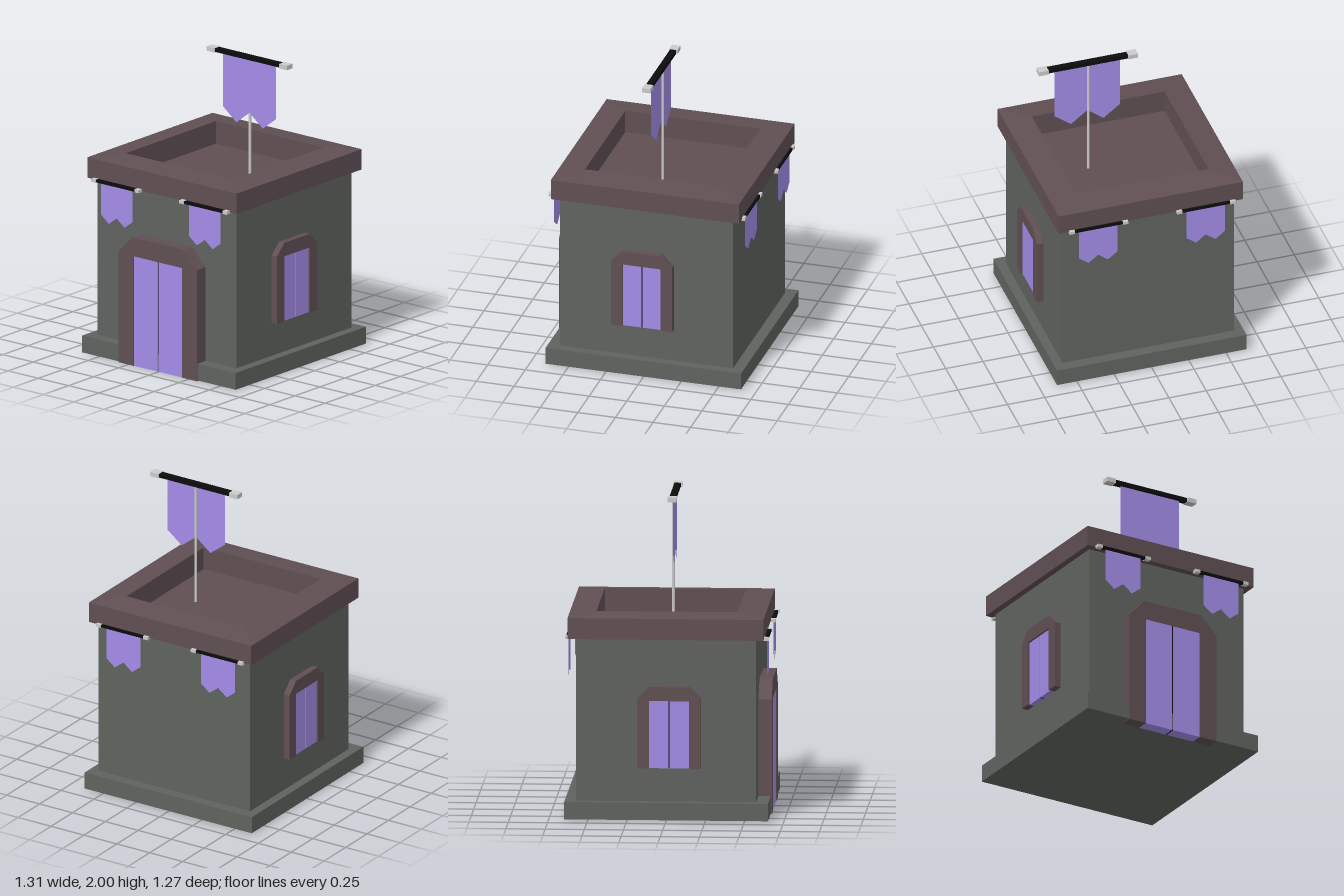
import * as THREE from 'three';

const mat = (color, side = THREE.FrontSide) =>
  new THREE.MeshStandardMaterial({ color, side, flatShading: true });

const stone = mat(0x5f635e);
const trim = mat(0x604f53);
const black = mat(0x0c0c0c);
const metal = mat(0xcccccc);
const glass = mat(0xa38ce8);
const cloth = mat(0xa38ce8, THREE.DoubleSide);

function mesh(name, geometry, material, x = 0, y = 0, z = 0) {
  const m = new THREE.Mesh(geometry, material);
  m.name = name;
  m.position.set(x, y, z);
  return m;
}

const box = (name, w, h, d, material, x, y, z) =>
  mesh(name, new THREE.BoxGeometry(w, h, d), material, x, y, z);

const polygon = (points) => new THREE.Shape(points.map(([x, y]) => new THREE.Vector2(x, y)));

// Chamfered surround, open at the bottom, with two leaves; its back lies on z = 0
function opening(name, { width, height, chamfer, innerWidth, innerHeight, depth, recess }) {
  const g = new THREE.Group();
  g.name = name;
  const w = width / 2, i = innerWidth / 2;
  const surround = polygon([
    [-w, 0], [-i, 0], [-i, innerHeight], [i, innerHeight], [i, 0], [w, 0],
    [w, height - chamfer], [w - chamfer, height], [chamfer - w, height], [-w, height - chamfer],
  ]);
  g.add(mesh(name + 'Surround',
    new THREE.ExtrudeGeometry(surround, { depth, bevelEnabled: false }), trim));

  const gap = 0.008, leaf = i - gap / 2, thick = depth - recess;
  for (const s of [-1, 1]) {
    g.add(box(name + 'Leaf', leaf, innerHeight, thick, glass,
      s * (gap + leaf) / 2, innerHeight / 2, thick / 2));
  }
  g.add(box(name + 'Gap', gap, innerHeight, thick - 0.004, black, 0, innerHeight / 2, thick / 2 - 0.002));
  return g;
}

// Hanging cloth with two points, on a rod along z with square end caps
function banner(name, { length, cap, capSize, capHeight, rodSize, width, drop, point }) {
  const g = new THREE.Group();
  g.name = name;
  g.add(box(name + 'Rod', rodSize, capHeight * 0.85, length - 2 * cap, black, 0, 0, 0));
  for (const s of [-1, 1]) {
    g.add(box(name + 'Cap', capSize, capHeight, cap, metal, 0, 0, s * (length - cap) / 2));
  }
  const w = width / 2;
  const shape = polygon([
    [-w, 0], [-w, -drop], [-w / 2, -drop - point], [0, -drop],
    [w / 2, -drop - point], [w, -drop], [w, 0],
  ]);
  const sheet = mesh(name + 'Cloth', new THREE.ShapeGeometry(shape), cloth);
  sheet.rotation.y = Math.PI / 2;
  g.add(sheet);
  return g;
}

export function createModel() {
  const model = new THREE.Group();
  model.name = 'tower';

  // Plinth and walls
  model.add(box('plinth', 1.3, 0.112, 1.27, stone, 0, 0.06, 0));
  model.add(box('walls', 1.15, 1.06, 1.15, stone, 0.004, 0.638, 0));

  // Square roof with a sloped rim and a sunken floor
  const profile = [
    [0, 1.165], [0.625, 1.165], [0.625, 1.3], [0.45, 1.32], [0.45, 1.17], [0, 1.17],
  ].map(([r, y]) => new THREE.Vector2(r * Math.SQRT2, y));
  const roofGeometry = new THREE.LatheGeometry(profile, 4, Math.PI / 4).toNonIndexed();
  roofGeometry.scale(1, 1, 0.987);
  roofGeometry.computeVertexNormals();
  model.add(mesh('roof', roofGeometry, trim, 0.005, 0, 0));

  // Windows on the front and back
  for (const s of [1, -1]) {
    const win = opening('window', {
      width: 0.404, height: 0.525, chamfer: 0.075,
      innerWidth: 0.255, innerHeight: 0.435, depth: 0.045, recess: 0.012,
    });
    win.position.set(-0.017, 0.335, s * 0.574);
    if (s < 0) win.rotation.y = Math.PI;
    model.add(win);
  }

  // Door on the right side
  const door = opening('door', {
    width: 0.65, height: 0.855, chamfer: 0.115,
    innerWidth: 0.4, innerHeight: 0.73, depth: 0.086, recess: 0.003,
  });
  door.position.set(-0.57, 0, -0.004);
  door.rotation.y = -Math.PI / 2;
  model.add(door);

  // Small banners under the eaves on both sides
  for (const [x, z] of [[0.632, 0.353], [0.632, -0.367], [-0.634, 0.366], [-0.634, -0.362]]) {
    const b = banner('sideBanner', {
      length: 0.393, cap: 0.036, capSize: 0.035, capHeight: 0.021,
      rodSize: 0.024, width: 0.26, drop: 0.22, point: 0.05,
    });
    b.position.set(x, 1.166, z);
    model.add(b);
  }

  // Flagpole and large banner
  model.add(mesh('flagpole', new THREE.CylinderGeometry(0.009, 0.009, 0.82, 8), metal, 0.003, 1.575, 0.213));
  const top = banner('topBanner', {
    length: 0.664, cap: 0.065, capSize: 0.056, capHeight: 0.03,
    rodSize: 0.04, width: 0.437, drop: 0.37, point: 0.085,
  });
  top.position.set(-0.007, 1.985, 0.217);
  model.add(top);

  return model;
}
